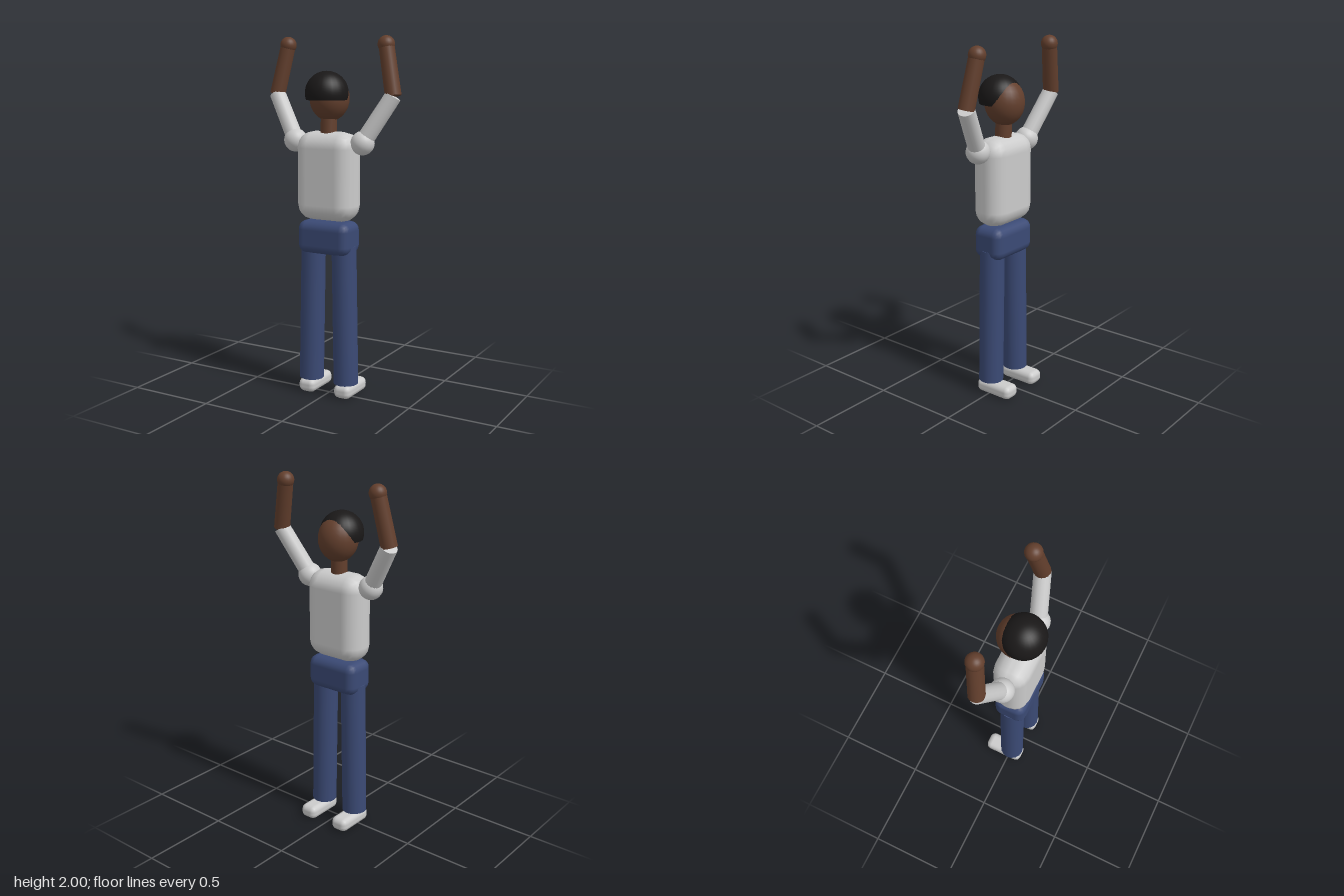
import * as THREE from 'three';
import { RoundedBoxGeometry } from 'three/addons/geometries/RoundedBoxGeometry.js';

const shirtMat = new THREE.MeshStandardMaterial({ color: 0xcccccc });
const skinMat = new THREE.MeshStandardMaterial({ color: 0x633f2d });
const denimMat = new THREE.MeshStandardMaterial({ color: 0x3b4a75 });
const hairMat = new THREE.MeshStandardMaterial({ color: 0x1a1818, side: THREE.DoubleSide });

function add(parent, name, geometry, material, x, y, z) {
  const mesh = new THREE.Mesh(geometry, material);
  mesh.name = name;
  mesh.position.set(x, y, z);
  parent.add(mesh);
  return mesh;
}

// Cylinder running from one point to another
function limb(parent, name, from, to, r0, r1, material) {
  const a = new THREE.Vector3(...from), b = new THREE.Vector3(...to);
  const dir = b.clone().sub(a);
  const mid = a.clone().add(b).multiplyScalar(0.5);
  const mesh = add(parent, name, new THREE.CylinderGeometry(r1, r0, dir.length(), 16), material, mid.x, mid.y, mid.z);
  mesh.quaternion.setFromUnitVectors(new THREE.Vector3(0, 1, 0), dir.normalize());
  return mesh;
}

const ball = (r) => new THREE.SphereGeometry(r, 24, 16);

export function createModel() {
  const model = new THREE.Group();
  model.name = 'figure';

  // Trunk
  add(model, 'torso', new RoundedBoxGeometry(0.354, 0.49, 0.2, 2, 0.09), shirtMat, 0, 1.245, 0.01);
  add(model, 'pelvis', new RoundedBoxGeometry(0.32, 0.185, 0.185, 2, 0.05), denimMat, 0, 0.908, 0.01);

  // Head, with the hair cap set back so the face stays clear
  limb(model, 'neck', [0, 1.45, 0.01], [0, 1.6, 0.005], 0.045, 0.045, skinMat);
  add(model, 'head', ball(0.109), skinMat, 0, 1.67, 0).scale.y = 1.15;
  add(model, 'hair', new THREE.SphereGeometry(0.118, 24, 16, 0, Math.PI * 2, 0, Math.PI * 0.6),
    hairMat, 0, 1.697, 0.03);

  for (const [side, s] of [['left', 1], ['right', -1]]) {
    // Raised arm
    const arm = new THREE.Group();
    arm.name = side + 'Arm';
    const shoulder = [s * 0.21, 1.435, 0.012];
    const elbow = [s * 0.362, 1.685, -0.042];
    const hand = [s * 0.305, 1.954, -0.068];
    add(arm, side + 'Shoulder', ball(0.065), shirtMat, ...shoulder);
    limb(arm, side + 'UpperArm', shoulder, elbow, 0.047, 0.045, shirtMat);
    limb(arm, side + 'Forearm', elbow, hand, 0.044, 0.042, skinMat);
    add(arm, side + 'Hand', ball(0.046), skinMat, ...hand);
    model.add(arm);

    // Leg and shoe
    const leg = new THREE.Group();
    leg.name = side + 'Leg';
    limb(leg, side + 'Trouser', [s * 0.112, 0.08, 0.01], [s * 0.097, 0.865, 0.01], 0.07, 0.069, denimMat);
    add(leg, side + 'Shoe', new RoundedBoxGeometry(0.104, 0.078, 0.232, 2, 0.032), shirtMat, s * 0.114, 0.04, -0.036);
    model.add(leg);
  }
  return model;
}
